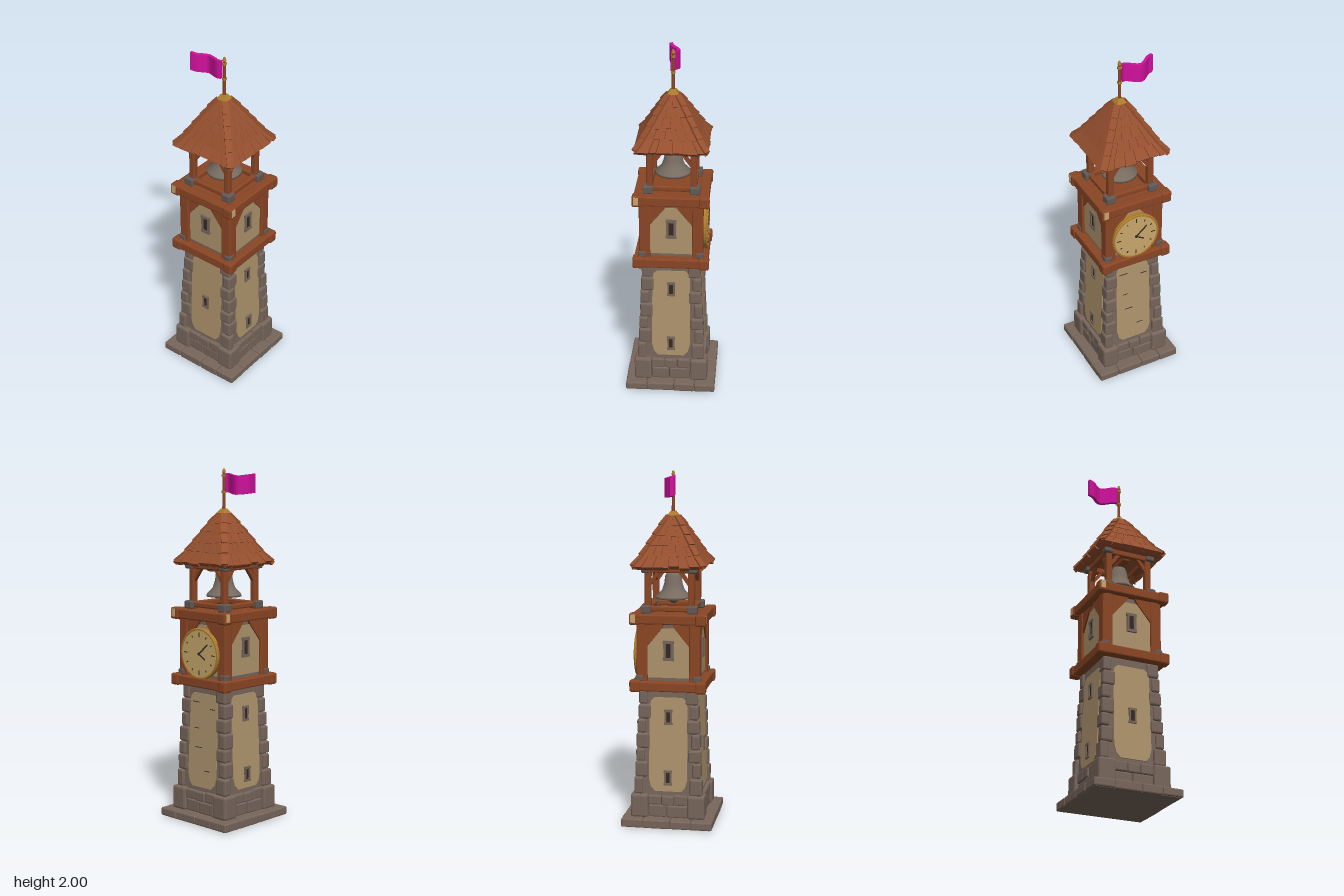
import * as THREE from 'three';
import { RoundedBoxGeometry } from 'three/addons/geometries/RoundedBoxGeometry.js';

const mat = (name, color) => Object.assign(new THREE.MeshStandardMaterial({ color }), { name });
const M = {
  stone: mat('stone', 0x77665b),
  plaster: mat('plaster', 0xae946c),
  wood: mat('wood', 0x8b4625),
  tile: mat('roof tile', 0x96502f),
  metal: mat('grey metal', 0x625a56),
  bell: mat('bell metal', 0x796d62),
  gold: mat('gold', 0xad7d2c),
  dial: mat('pale dial', 0xc9a76c),
  dark: mat('dark', 0x352a24),
  flag: mat('flag cloth', 0xd0119c),
};

let seed = 7;
const rnd = (a, b) => {
  seed = (seed * 16807) % 2147483647;
  return a + (b - a) * seed / 2147483647;
};

function add(parent, name, geo, material, x = 0, y = 0, z = 0, smooth = false) {
  if (!smooth) {
    if (geo.index) geo = geo.toNonIndexed();
    geo.computeVertexNormals();
  }
  const mesh = new THREE.Mesh(geo, material);
  mesh.name = name;
  mesh.position.set(x, y, z);
  parent.add(mesh);
  return mesh;
}

// Chamfered block
const block = (parent, name, m, w, h, d, x, y, z, r = 0.007) =>
  add(parent, name, new RoundedBoxGeometry(w, h, d, 1, Math.min(r, w / 3, h / 3, d / 3)), m, x, y, z);
const box = (parent, name, m, w, h, d, x, y, z) =>
  add(parent, name, new THREE.BoxGeometry(w, h, d), m, x, y, z);

// Beam running from p to q
function beam(parent, name, m, p, q, w, h) {
  const a = new THREE.Vector3(...p), b = new THREE.Vector3(...q);
  const mesh = new THREE.Mesh(new THREE.BoxGeometry(w, h, a.distanceTo(b)), m);
  mesh.name = name;
  mesh.position.copy(a).lerp(b, 0.5);
  mesh.lookAt(b);
  parent.add(mesh);
}

// Square frustum given by half widths
function frustum(parent, name, m, bottom, top, y0, y1) {
  const g = new THREE.CylinderGeometry(top * Math.SQRT2, bottom * Math.SQRT2, y1 - y0, 4);
  g.rotateY(Math.PI / 4);
  return add(parent, name, g, m, 0, (y0 + y1) / 2, 0);
}

// Thin plate from an outline in the xy plane
const plate = (pts, depth) => new THREE.ExtrudeGeometry(
  new THREE.Shape(pts.map(p => new THREE.Vector2(...p))), { depth, bevelEnabled: false });

function windowSlit(parent, w, h, x, y, z) {
  const g = new THREE.Group();
  g.name = 'window';
  g.position.set(x, y, z);
  parent.add(g);
  box(g, 'windowOpening', M.dark, w * 0.5, h * 0.8, 0.006, 0, 0, 0);
  for (const s of [-1, 1]) {
    box(g, 'windowJamb', M.stone, w * 0.24, h, 0.016, s * w * 0.38, 0, 0);
    box(g, 'windowLintel', M.stone, w * 1.1, h * 0.16, 0.018, 0, s * h * 0.46, 0);
  }
}

// Roof tile: a box remapped onto the slope; u is a fraction of the half width
function roofTile(parent, u0, u1, y0, y1, d0, d1) {
  const g = new THREE.BoxGeometry(1, 1, 1), p = g.attributes.position;
  for (let i = 0; i < p.count; i++) {
    const low = p.getY(i) < 0, outer = p.getZ(i) > 0;
    const d = low ? d0 : d1;
    p.setXYZ(i, (p.getX(i) < 0 ? u0 : u1) * d, (low ? y0 : y1) + (outer ? 0.012 : -0.006), d + (outer ? 0.006 : -0.014));
  }
  add(parent, 'roofTile', g, M.tile);
}

function buildSide(side, i) {
  // Base slab stones
  const cuts = [-0.26, -0.137, 0.02, 0.14, 0.205];
  for (let k = 0; k < 4; k++) {
    const w = cuts[k + 1] - cuts[k];
    block(side, 'baseStone', M.stone, w - 0.002, 0.048 + rnd(-0.003, 0.003), 0.09, (cuts[k] + cuts[k + 1]) / 2, 0.025, 0.215 + rnd(-0.002, 0.001));
  }
  // Plinth: corner block and middle courses
  block(side, 'plinthCorner', M.stone, 0.1, 0.135, 0.1, 0.162, 0.115, 0.162, 0.012);
  for (const [x, y, w, h] of [[-0.06, 0.085, 0.1, 0.07], [0.052, 0.085, 0.12, 0.07], [-0.075, 0.15, 0.075, 0.055], [0, 0.148, 0.07, 0.055], [0.075, 0.15, 0.075, 0.06]])
    block(side, 'plinthStone', M.stone, w, h, 0.04, x, y, 0.178 + rnd(-0.004, 0.004));
  // Tapering corner stones
  let y = 0.18;
  for (let k = 0; k < 7; k++) {
    const h = [0.1, 0.09, 0.075, 0.09, 0.08, 0.085, 0.085][k];
    const out = 0.193 - 0.03 * (y - 0.18) / 0.6 + rnd(-0.002, 0.004);
    const wx = k % 2 ? 0.05 : 0.072, wz = k % 2 ? 0.072 : 0.05;
    block(side, 'cornerStone', M.stone, wx, h - 0.003, wz, out - wx / 2, y + h / 2, out - wz / 2, 0.01);
    y += h;
  }
  // Tower plaster panel lying on the slope
  const panel = add(side, 'towerPlaster', plate([[-0.075, 0.2], [0.075, 0.2], [0.098, 0.225], [0.11, 0.27], [0.108, 0.69], [0.1, 0.725],
    [0.08, 0.742], [-0.08, 0.742], [-0.1, 0.725], [-0.108, 0.69], [-0.11, 0.27], [-0.098, 0.225]], 0.008), M.plaster, 0, 0, 0.184);
  panel.rotation.x = -Math.atan(0.03 / 0.73);
  const slits = [[0.28, 0.63], [], [0.28, 0.63], [0.45]][i];
  for (const wy of slits) windowSlit(side, 0.042, 0.08, 0, wy, 0.193 - wy * 0.041);
  // Cracks in the blank wall
  if (i === 1) for (const [x, cy, w] of [[-0.06, 0.69, 0.05], [0.07, 0.66, 0.04], [-0.05, 0.54, 0.035], [-0.03, 0.43, 0.05], [0.04, 0.3, 0.04]])
    box(side, 'crack', M.dark, w, 0.004, 0.003, x, cy, 0.192 - cy * 0.041);

  // Clock chamber: frame beams, posts, braces and panel
  for (const by of [0.81, 1.19]) {
    block(side, 'frameBeam', M.wood, 0.4, 0.055, 0.055, 0, by, 0.182);
    block(side, 'frameBeamEnd', M.wood, 0.06, 0.066, 0.06, 0.186, by, 0.186, 0.01);
  }
  box(side, 'wornBeamCorner', M.dial, 0.006, 0.045, 0.028, 0.214, 1.194, 0.192);
  block(side, 'chamberPost', M.wood, 0.062, 0.34, 0.062, 0.149, 1, 0.149);
  block(side, 'postShoe', M.metal, 0.045, 0.035, 0.045, 0.163, 0.853, 0.163);
  add(side, 'chamberPlaster', plate([[-0.118, 0.855], [0.118, 0.855], [0.118, 1.05], [0.045, 1.135], [-0.045, 1.135], [-0.118, 1.05]], 0.008), M.plaster, 0, 0, 0.157);
  for (const s of [-1, 1])
    add(side, 'chamberBrace', plate(s > 0 ? [[0.122, 1.03], [0.122, 1.17], [0.015, 1.17], [0.04, 1.13]]
      : [[-0.122, 1.03], [-0.04, 1.13], [-0.015, 1.17], [-0.122, 1.17]], 0.016), M.wood, 0, 0, 0.158);
  if (i !== 1) windowSlit(side, 0.055, 0.105, 0, 1.01, 0.167);

  // Belfry: rail, post, shoes, braces and top beam
  block(side, 'belfryRail', M.wood, 0.26, 0.03, 0.03, 0, 1.24, 0.125);
  block(side, 'belfryPost', M.wood, 0.036, 0.25, 0.036, 0.122, 1.345, 0.122);
  block(side, 'belfryShoe', M.metal, 0.058, 0.045, 0.058, 0.131, 1.238, 0.131);
  block(side, 'belfryBracket', M.metal, 0.05, 0.03, 0.05, 0.132, 1.458, 0.132);
  block(side, 'belfryTopBeam', M.wood, 0.28, 0.034, 0.034, 0, 1.46, 0.124);
  for (const s of [-1, 1])
    beam(side, 'belfryBrace', M.wood, [s * 0.115, 1.375, 0.122], [s * 0.06, 1.45, 0.122], 0.022, 0.02);

  // Roof tile courses and hip
  const ys = [1.472, 1.53, 1.585, 1.637, 1.687, 1.738], ds = [0.195, 0.152, 0.12, 0.089, 0.059, 0.028];
  for (let r = 0; r < 5; r++) {
    const n = [6, 5, 4, 3, 2][r];
    let u = -1;
    for (let k = 0; k < n; k++) {
      const next = k === n - 1 ? 1 : -1 + 2 * (k + 1) / n + rnd(-0.08, 0.08);
      const drop = rnd(-0.004, 0.007);
      roofTile(side, u + 0.008, next - 0.008, ys[r] - drop, ys[r + 1] + 0.004, ds[r] + 0.005 + drop * 0.5, ds[r + 1]);
      u = next;
    }
    const a = ds[r] + 0.002, b = ds[r + 1] - 0.004;
    beam(side, 'roofHip', M.tile, [a, ys[r] + 0.013, a], [b, ys[r + 1] + 0.012, b], 0.036, 0.018);
  }
}

function buildClock(parent) {
  const clock = new THREE.Group();
  clock.name = 'clock';
  clock.position.set(0.165, 0.975, 0);
  clock.rotation.y = Math.PI / 2;
  parent.add(clock);
  const disc = (name, m, r, d, z) => add(clock, name, new THREE.CylinderGeometry(r, r, d, 40).rotateX(Math.PI / 2), m, 0, 0, z);
  disc('clockBody', M.gold, 0.14, 0.03, 0.015);
  add(clock, 'clockRim', new THREE.TorusGeometry(0.138, 0.008, 6, 40), M.gold, 0, 0, 0.031);
  disc('clockFace', M.dial, 0.136, 0.006, 0.032);
  for (let k = 0; k < 12; k++) {
    const a = k * Math.PI / 6, l = k % 3 ? 0.012 : 0.026;
    const mark = box(clock, 'hourMark', M.dark, 0.005, l, 0.003, Math.sin(a) * 0.108, Math.cos(a) * 0.108, 0.036);
    mark.rotation.z = -a;
  }
  for (const [a, l] of [[0.85, 0.088], [2.1, 0.055]]) {
    const hand = box(clock, 'clockHand', M.dark, 0.007, l, 0.004, Math.sin(a) * l / 2, Math.cos(a) * l / 2, 0.038);
    hand.rotation.z = -a;
  }
  disc('clockHub', M.dark, 0.008, 0.005, 0.038);
}

export function createModel() {
  const model = new THREE.Group();
  model.name = 'clockTower';

  // Solid cores
  box(model, 'baseSlab', M.stone, 0.5, 0.04, 0.5, 0, 0.02, 0);
  frustum(model, 'towerCore', M.stone, 0.184, 0.154, 0.03, 0.8);
  box(model, 'chamberCore', M.stone, 0.318, 0.4, 0.318, 0, 1, 0);
  box(model, 'chamberFloor', M.wood, 0.36, 0.04, 0.36, 0, 0.81, 0);
  box(model, 'belfryFloor', M.wood, 0.36, 0.045, 0.36, 0, 1.193, 0);
  frustum(model, 'roofCore', M.tile, 0.186, 0.02, 1.474, 1.74);

  for (let i = 0; i < 4; i++) {
    const side = new THREE.Group();
    side.name = ['frontSide', 'leftSide', 'backSide', 'rightSide'][i];
    side.rotation.y = i * Math.PI / 2;
    model.add(side);
    buildSide(side, i);
  }
  buildClock(model);

  // Bell hung from a yoke
  M.bell.side = THREE.DoubleSide;
  const profile = [[0.001, 1.435], [0.036, 1.432], [0.046, 1.415], [0.052, 1.37], [0.066, 1.33], [0.098, 1.298], [0.1, 1.285], [0.088, 1.285], [0.055, 1.33], [0.04, 1.41]];
  add(model, 'bell', new THREE.LatheGeometry(profile.map(p => new THREE.Vector2(...p)).reverse(), 28), M.bell, 0, 0, 0, true);
  add(model, 'bellClapper', new THREE.SphereGeometry(0.026, 14, 10), M.metal, 0, 1.282, 0, true);
  box(model, 'clapperRod', M.metal, 0.01, 0.13, 0.01, 0, 1.36, 0);
  block(model, 'bellYoke', M.wood, 0.23, 0.035, 0.045, 0, 1.45, 0);

  // Gold cap, pole and flag
  frustum(model, 'roofCap', M.gold, 0.041, 0.033, 1.727, 1.75);
  frustum(model, 'roofCapTip', M.gold, 0.033, 0.014, 1.75, 1.778);
  add(model, 'flagPole', new THREE.CylinderGeometry(0.007, 0.01, 0.23, 8), M.wood, 0, 1.875, 0);
  add(model, 'poleFinial', new THREE.CylinderGeometry(0.006, 0.011, 0.02, 8), M.gold, 0, 1.99, 0);
  for (const ry of [1.872, 1.962])
    add(model, 'poleRing', new THREE.CylinderGeometry(0.013, 0.013, 0.012, 8), M.gold, 0, ry, 0);
  const path = new THREE.SplineCurve([[-0.004, 0.015], [-0.008, 0.04], [0.012, 0.085], [0.021, 0.12], [0.004, 0.15], [-0.018, 0.175], [-0.027, 0.208]].map(p => new THREE.Vector2(...p)));
  const left = [], right = [];
  for (let k = 0; k <= 20; k++) {
    const p = path.getPoint(k / 20), t = path.getTangent(k / 20);
    left.push([p.x - t.y * 0.009, p.y + t.x * 0.009]);
    right.unshift([p.x + t.y * 0.009, p.y - t.x * 0.009]);
  }
  const cloth = plate([...left, ...right], 0.105).rotateX(-Math.PI / 2);
  const cp = cloth.attributes.position;
  for (let k = 0; k < cp.count; k++) {
    const z = cp.getZ(k);
    cp.setY(k, cp.getY(k) + 0.006 * Math.sin(-z * 30 + 1.2));
  }
  add(model, 'flag', cloth, M.flag, 0, 1.865, 0);
  return model;
}
